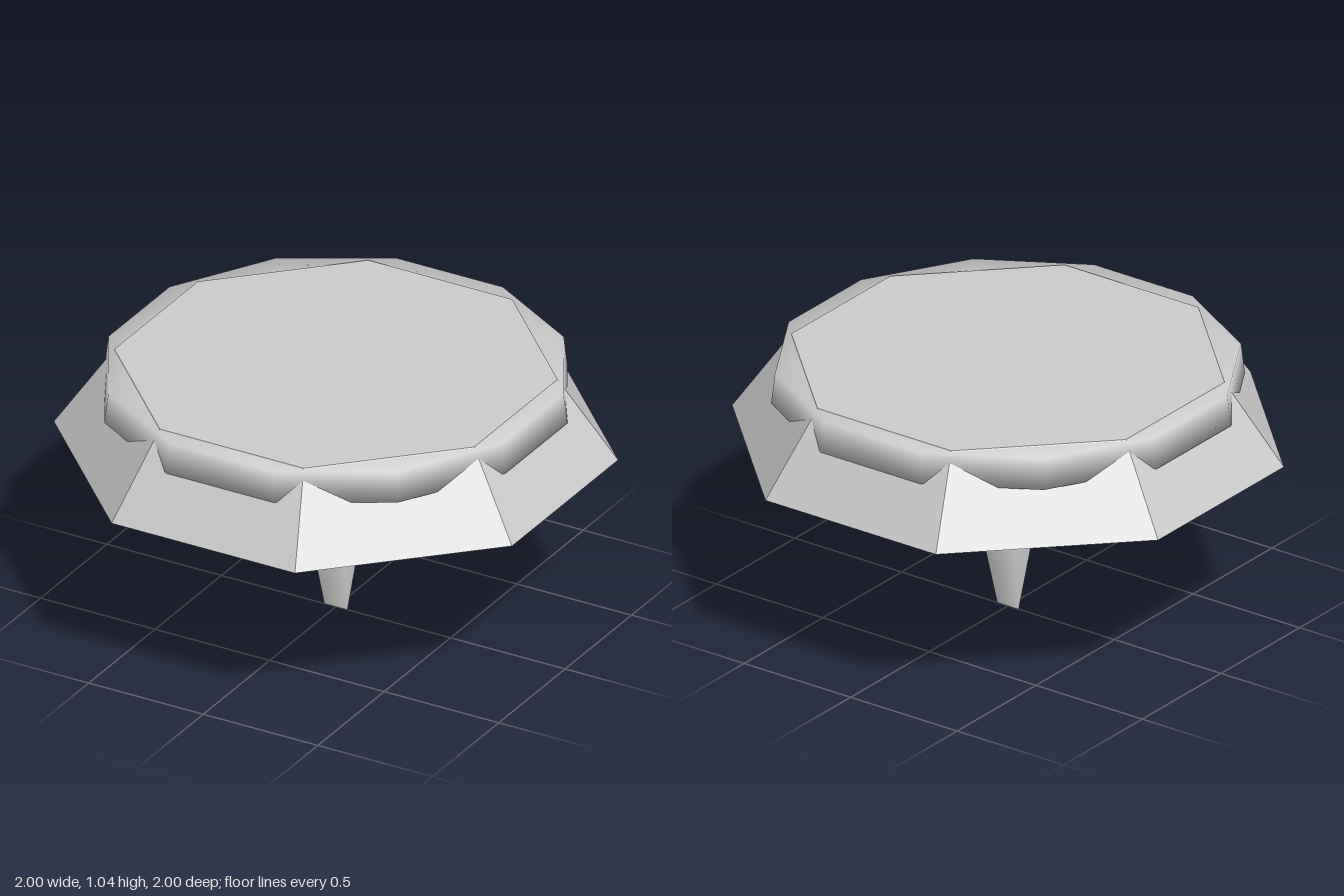
import * as THREE from 'three';
import { mergeVertices } from 'three/addons/utils/BufferGeometryUtils.js';

const material = new THREE.MeshStandardMaterial({ color: 0xcccccc });
const flatMaterial = new THREE.MeshStandardMaterial({ color: 0xcccccc, flatShading: true });

// Box whose half sizes run from [x, z] at the bottom to [x, z] at the top
function taperedBox(bottom, top, y0, y1) {
  const geometry = new THREE.BoxGeometry(2, y1 - y0, 2);
  const p = geometry.attributes.position;
  for (let i = 0; i < p.count; i++) {
    const half = p.getY(i) > 0 ? top : bottom;
    p.setX(i, p.getX(i) * half[0]);
    p.setZ(i, p.getZ(i) * half[1]);
  }
  geometry.translate(0, (y0 + y1) / 2, 0);
  geometry.computeVertexNormals();
  return geometry;
}

// Share corners so the shading runs smoothly over the edges
function smooth(geometry) {
  geometry.deleteAttribute('normal');
  geometry.deleteAttribute('uv');
  const merged = mergeVertices(geometry);
  merged.computeVertexNormals();
  return merged;
}

export function createModel() {
  const model = new THREE.Group();
  const add = (name, geometry, mat = material) => {
    const mesh = new THREE.Mesh(geometry, mat);
    mesh.name = name;
    model.add(mesh);
    return mesh;
  };

  // Eight-sided sloping head, its diagonal sides slightly longer than the others
  const y0 = 0.71, y1 = 1.037;
  const k = 1 / Math.cos(Math.PI / 8);
  const head = new THREE.CylinderGeometry(0.785 * k, k, y1 - y0, 8);
  head.rotateY(Math.PI / 8);
  const p = head.attributes.position;
  for (let i = 0; i < p.count; i++) {
    if (Math.abs(p.getX(i)) < Math.abs(p.getZ(i))) p.setX(i, p.getX(i) * 0.966);
    else p.setZ(i, p.getZ(i) * 0.966);
  }
  head.translate(0, (y0 + y1) / 2, 0);
  add('head', head, flatMaterial);

  // Twelve-sided rim that the head's corners poke through
  const profile = [[0.7, 0.91], [0.905, 0.91], [0.89, 1.033], [0.7, 1.033]]
    .map(([r, y]) => new THREE.Vector2(r, y));
  add('rim', new THREE.LatheGeometry(profile, 12, Math.PI / 12));

  // Square post with a shallow tapering panel on front and back
  add('post', taperedBox([0.11, 0.11], [0.11, 0.11], 0.33, 0.72));
  add('postPanel', smooth(taperedBox([0.055, 0.111], [0.064, 0.116], 0.49, 0.72)));

  // Wedge blade ending in a straight edge
  add('blade', smooth(taperedBox([0.05, 0.001], [0.074, 0.075], 0, 0.34)));

  // Two tiny pins beside the post
  for (const [x, z] of [[0.22, 0], [0, -0.22]]) {
    add('pin', new THREE.BoxGeometry(0.02, 0.02, 0.02)).position.set(x, 0.6, z);
  }

  return model;
}
